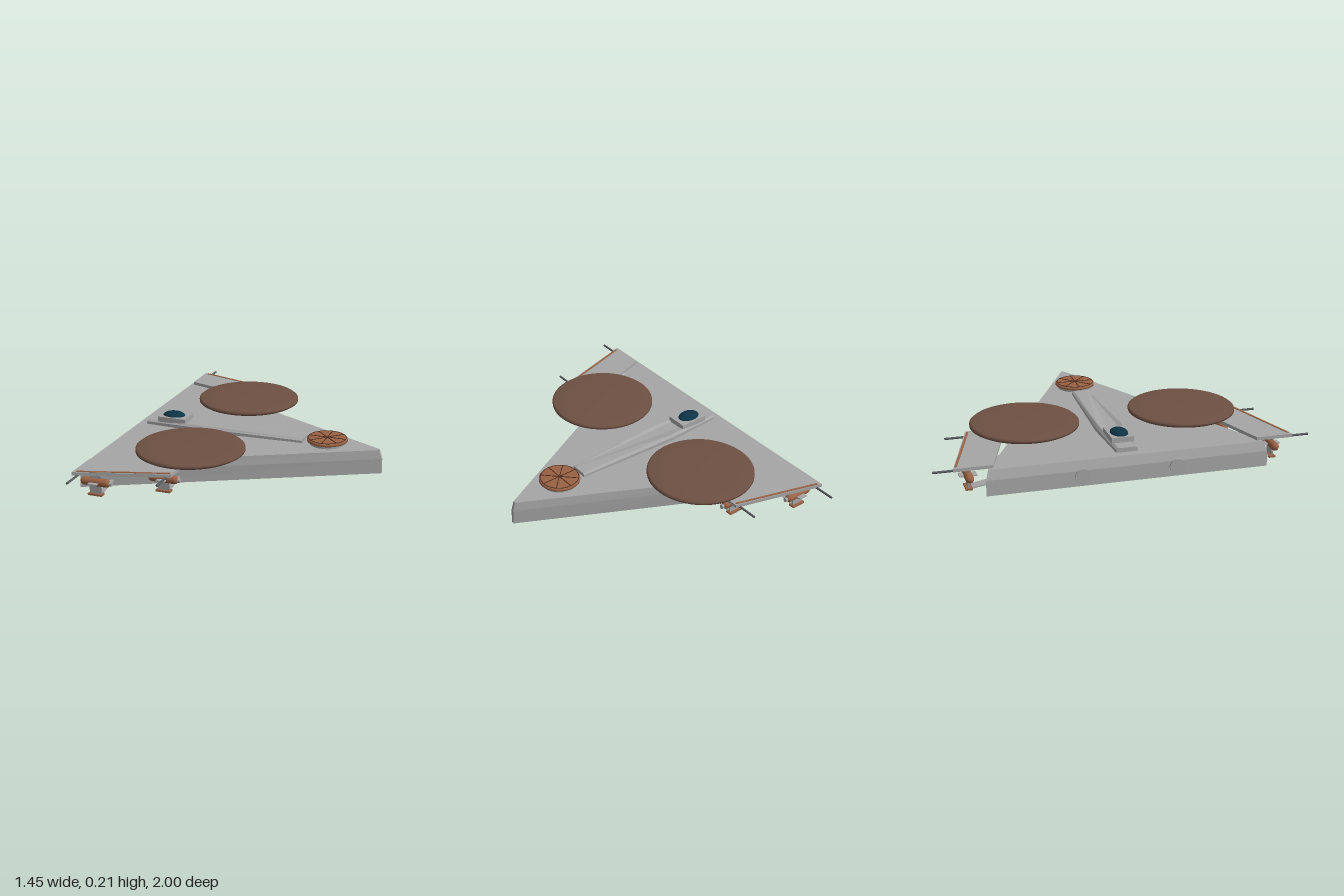
import * as THREE from 'three';

const mat = (name, color) => {
  const m = new THREE.MeshStandardMaterial({ color });
  m.name = name;
  return m;
};

export function createModel() {
  const gray = mat('hull gray', 0xa6a6a6);
  const brown = mat('dish brown', 0x6e5043);
  const copper = mat('copper', 0x9a6244);
  const dark = mat('gun gray', 0x55595c);
  const line = mat('spoke brown', 0x4a2c1e);
  const glass = mat('canopy blue', 0x0d3447);

  const root = new THREE.Group();
  root.name = 'deltaShip';
  const add = (name, geo, material, x = 0, y = 0, z = 0, parent = root) => {
    const mesh = new THREE.Mesh(geo, material);
    mesh.name = name;
    mesh.position.set(x, y, z);
    parent.add(mesh);
    return mesh;
  };
  // Horizontal plate from [x, z] corners
  const plate = (points, depth) => {
    const shape = new THREE.Shape(points.map(([x, z]) => new THREE.Vector2(x, -z)));
    return new THREE.ExtrudeGeometry(shape, { depth, bevelEnabled: false }).rotateX(-Math.PI / 2);
  };
  const lathe = (points, n = 48) =>
    new THREE.LatheGeometry(points.map(([r, y]) => new THREE.Vector2(r, y)), n);

  // Solid from stacked rings of [x, y, z] corners, flat-faced
  const loft = (rings) => {
    const n = rings[0].length, pos = [];
    const tri = (a, b, c) => pos.push(...a, ...b, ...c);
    for (let k = 0; k < rings.length - 1; k++) {
      for (let i = 0; i < n; i++) {
        const j = (i + 1) % n, a = rings[k], b = rings[k + 1];
        tri(a[i], b[i], a[j]);
        tri(b[i], b[j], a[j]);
      }
    }
    const lo = rings[0], hi = rings[rings.length - 1];
    for (let i = 1; i < n - 1; i++) {
      tri(lo[0], lo[i], lo[i + 1]);
      tri(hi[0], hi[i + 1], hi[i]);
    }
    const geo = new THREE.BufferGeometry();
    geo.setAttribute('position', new THREE.Float32BufferAttribute(pos, 3));
    geo.computeVertexNormals();
    return geo;
  };

  // Triangular hull with a bevelled upper rim and blunt nose
  const hullRing = (y, nose, back, z) => [
    [nose, y, 0.008], [back, y, z], [back, y, -z], [nose, y, -0.008]];
  add('hull', loft([
    hullRing(0.003, 0.72, -0.718, 0.745),
    hullRing(0.085, 0.718, -0.715, 0.745),
    hullRing(0.135, 0.703, -0.697, 0.73),
  ]), gray);
  add('noseSensor', new THREE.SphereGeometry(0.024, 20, 14), gray, 0.682, 0.09, 0);

  // Tapered central spine
  const spineRing = (inset, lift) => [
    [0.28, 0.135 + lift * 0.02, 0.05 - inset],
    [-0.32, 0.135 + lift * 0.033, 0.076 - inset],
    [-0.65, 0.135 + lift * 0.024, 0.058 - inset],
    [-0.65, 0.135 + lift * 0.024, -0.058 + inset],
    [-0.32, 0.135 + lift * 0.033, -0.076 + inset],
    [0.28, 0.135 + lift * 0.02, -0.05 + inset]];
  add('spine', loft([spineRing(0, -0.2), spineRing(0, 0.6), spineRing(0.012, 1)]), gray);

  // Cockpit
  add('cockpitBase', new THREE.BoxGeometry(0.165, 0.03, 0.12), gray, -0.495, 0.172, 0);
  const dome = new THREE.SphereGeometry(1, 28, 10, 0, Math.PI * 2, 0, Math.PI / 2);
  add('canopy', dome, glass, -0.503, 0.185, 0).scale.set(0.065, 0.024, 0.047);

  // Small spoked turret near the nose
  const turret = new THREE.Group();
  turret.name = 'noseTurret';
  turret.position.set(0.408, 0, 0);
  root.add(turret);
  add('turretBase', new THREE.CylinderGeometry(0.098, 0.098, 0.02, 40), gray, 0, 0.14, 0, turret);
  add('turretDisc', lathe([[0, 0.147], [0.1, 0.147], [0.112, 0.152], [0.112, 0.161], [0.104, 0.168], [0, 0.168]]),
    copper, 0, 0, 0, turret);
  for (let i = 0; i < 4; i++) {
    add('spoke', new THREE.BoxGeometry(0.204, 0.003, 0.004), line, 0, 0.169, 0, turret)
      .rotation.y = i * Math.PI / 4;
  }
  add('turretRing', new THREE.TorusGeometry(0.104, 0.002, 6, 48).rotateX(Math.PI / 2), line, 0, 0.168, 0, turret);

  for (const s of [1, -1]) {
    // Large shallow dish
    add('dish', lathe([[0, 0.143], [0.09, 0.146], [0.2, 0.16], [0.28, 0.168], [0.292, 0.175],
      [0.292, 0.186], [0.282, 0.194], [0.2, 0.198], [0, 0.202]], 64), brown, -0.215, 0, s * 0.44);

    // Swept wing with a copper edge strip
    add('wing', plate([[-0.68, s * 0.7], [-0.68, s * 0.9], [-0.19, s * 0.755], [-0.19, s * 0.54]], 0.018),
      gray, 0, 0.134, 0);
    add('wingStrip', plate([[-0.66, s * 0.878], [-0.66, s * 0.89], [-0.2, s * 0.75], [-0.2, s * 0.738]], 0.005),
      copper, 0, 0.15, 0);

    // Guns along the wing tip: [x, inner z, outer z]
    for (const [x, z0, z1] of [[-0.654, 0.8, 1], [-0.217, 0.7, 0.87]]) {
      add('gun', new THREE.CylinderGeometry(0.006, 0.006, z1 - z0, 12).rotateX(Math.PI / 2),
        dark, x, 0.132, s * (z0 + z1) / 2);
    }

    // Engine pods hung under the wing: [x, z, hull edge z]
    for (const [x, z, edge] of [[-0.59, 0.815, 0.67], [-0.28, 0.65, 0.51]]) {
      const pod = new THREE.Group();
      pod.name = 'enginePod';
      pod.position.set(x, 0, s * z);
      root.add(pod);
      add('podBody', new THREE.CapsuleGeometry(0.022, 0.125, 8, 20).rotateZ(Math.PI / 2), copper, 0, 0.078, 0, pod);
      add('podTail', new THREE.CylinderGeometry(0.012, 0.012, 0.02, 16).rotateZ(Math.PI / 2), gray, 0.085, 0.078, 0, pod);
      // Thin hexagonal pylon
      const outline = [[-0.02, 0.136], [-0.036, 0.112], [-0.024, 0.08], [-0.036, 0.04], [-0.03, 0.012],
        [0.03, 0.012], [0.036, 0.04], [0.024, 0.08], [0.036, 0.112], [0.02, 0.136]];
      const pylon = new THREE.Shape(outline.map((p) => new THREE.Vector2(...p)));
      add('pylon', new THREE.ExtrudeGeometry(pylon, { depth: 0.008, bevelEnabled: false }), gray, 0, 0, -0.004, pod);
      add('podFin', new THREE.BoxGeometry(0.05, 0.006, 0.09), gray, 0, 0.078, 0, pod);
      // Sloping arm joining the pod to the hull
      const reach = z - edge;
      const arm = add('arm', new THREE.BoxGeometry(0.06, 0.006, reach + 0.02), gray, 0, 0.022, -s * reach / 2, pod);
      arm.rotation.x = s * Math.atan2(0.024, reach);
      add('foot', new THREE.BoxGeometry(0.08, 0.01, 0.035), copper, 0, 0.011, 0, pod);
    }

    // Round exhaust on the rear face
    add('exhaust', new THREE.CylinderGeometry(0.042, 0.042, 0.02, 32).rotateZ(Math.PI / 2),
      gray, -0.715, 0.055, s * 0.25);
  }
  return root;
}
